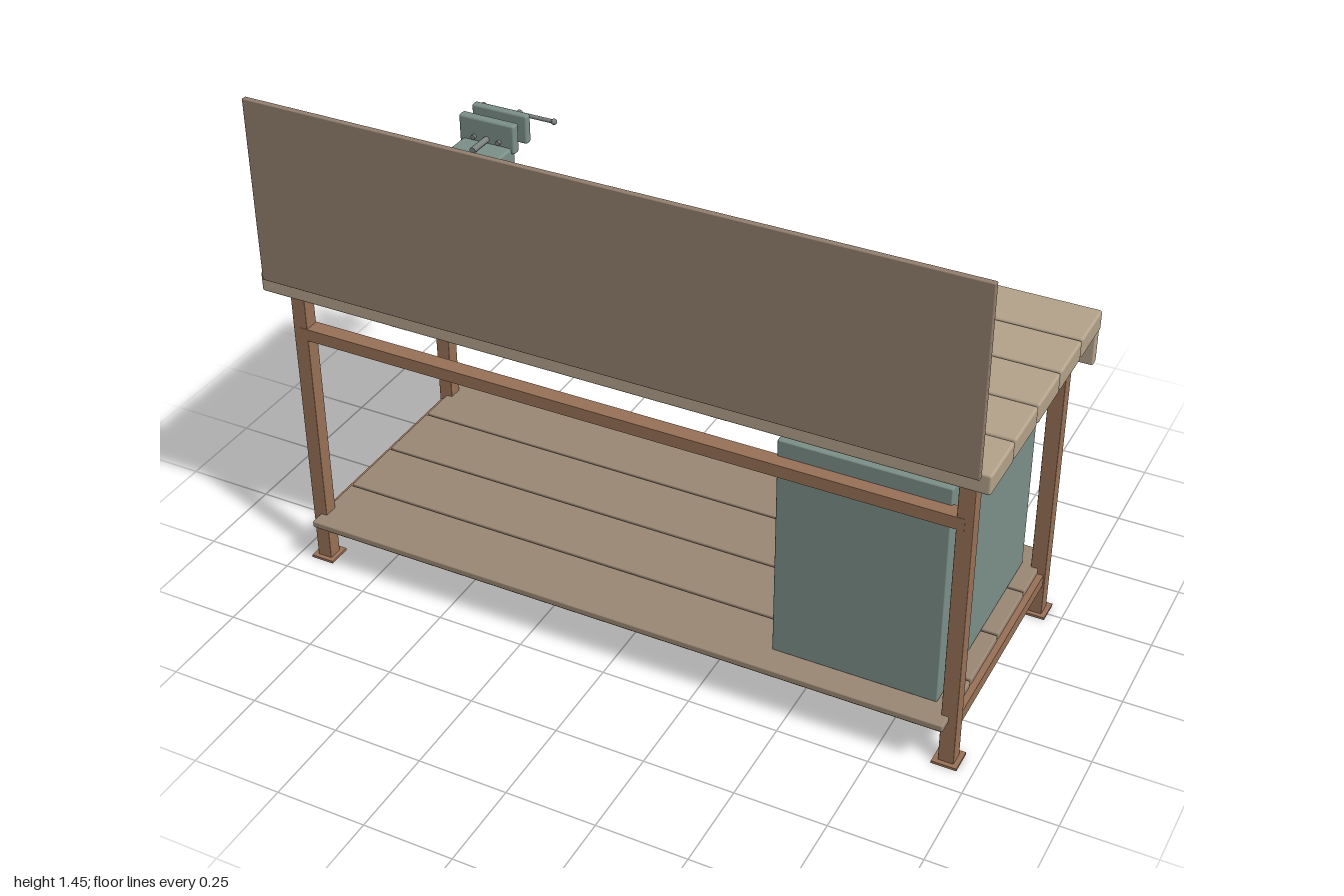
import * as THREE from 'three';
import { RoundedBoxGeometry } from 'three/addons/geometries/RoundedBoxGeometry.js';

const mat = (color) => new THREE.MeshStandardMaterial({ color });
const WOOD = mat(0xb5a48c), PANEL = mat(0x94806f), SHELF = mat(0x9c8976);
const FRAME = mat(0x9a7258), STEEL = mat(0x7d908a), ROD = mat(0x7c8280), DARK = mat(0x3a3633);

export function createModel() {
  const bench = new THREE.Group();
  bench.name = 'workbench';

  const add = (parent, name, geometry, material, x, y, z) => {
    const mesh = new THREE.Mesh(geometry, material);
    mesh.name = name;
    mesh.position.set(x, y, z);
    parent.add(mesh);
    return mesh;
  };

  // Box given by its limits on each axis; bevel rounds the edges
  const block = (parent, name, material, [x0, x1], [y0, y1], [z0, z1], bevel = 0) => {
    const size = [x1 - x0, y1 - y0, z1 - z0];
    const geometry = bevel
      ? new RoundedBoxGeometry(...size, 2, bevel)
      : new THREE.BoxGeometry(...size);
    return add(parent, name, geometry, material, (x0 + x1) / 2, (y0 + y1) / 2, (z0 + z1) / 2);
  };

  // Round bar along the x or z axis
  const bar = (parent, name, material, radius, length, axis, x, y, z) => {
    const geometry = new THREE.CylinderGeometry(radius, radius, length, 16);
    if (axis === 'x') geometry.rotateZ(Math.PI / 2);
    else geometry.rotateX(Math.PI / 2);
    return add(parent, name, geometry, material, x, y, z);
  };

  // Worktop planks
  for (let i = 0; i < 5; i++) {
    const z = -0.247 + i * 0.16;
    block(bench, 'worktopPlank', WOOD, [-0.997, 0.997], [0.88, 0.937], [z - 0.077, z + 0.077], 0.007);
  }
  // Apron and bearers under the worktop
  block(bench, 'apron', WOOD, [-0.993, 0.993], [0.783, 0.885], [-0.325, -0.298], 0.004);
  for (const x of [-0.605, 0.295])
    block(bench, 'bearer', SHELF, [x - 0.025, x + 0.025], [0.855, 0.882], [-0.3, 0.435], 0.003);

  // Legs with foot plates
  const legX = 0.926, legZ = [-0.255, 0.4];
  for (const x of [-legX, legX]) {
    for (const z of legZ) {
      block(bench, 'leg', FRAME, [x - 0.021, x + 0.021], [0, 0.882], [z - 0.021, z + 0.021], 0.002);
      block(bench, 'footPlate', FRAME, [x - 0.034, x + 0.034], [0, 0.007], [z - 0.034, z + 0.034]);
    }
    block(bench, 'lowerSideRail', FRAME, [x - 0.016, x + 0.016], [0.102, 0.137], legZ);
  }
  // Long rails
  for (const z of legZ) {
    block(bench, 'upperRail', FRAME, [-legX, legX], [0.725, 0.76], [z - 0.022, z + 0.022]);
    block(bench, 'lowerRail', FRAME, [-legX, legX], [0.095, 0.137], [z - 0.018, z + 0.018]);
  }

  // Shelf planks
  for (let i = 0; i < 4; i++) {
    const z = -0.225 + i * 0.197;
    block(bench, 'shelfPlank', SHELF, [-0.925, 0.925], [0.134, 0.154], [z - 0.095, z + 0.095], 0.004);
  }

  // Back panel with pegs
  block(bench, 'backPanel', PANEL, [-0.975, 0.975], [0.93, 1.446], [0.476, 0.491], 0.003);
  for (const x of [-0.7, -0.45, -0.2, 0.3, 0.55])
    bar(bench, 'peg', DARK, 0.004, 0.046, 'z', x, 1.288, 0.456);

  // Drawer cabinet
  const cabinet = new THREE.Group();
  cabinet.name = 'drawerCabinet';
  bench.add(cabinet);
  block(cabinet, 'cabinetBody', STEEL, [0.43, 0.88], [0.154, 0.806], [-0.24, 0.385], 0.004);
  const drawers = [[0.172, 0.455, 0.395], [0.472, 0.685, 0.625], [0.702, 0.82, 0.78]];
  for (const [y0, y1, gripY] of drawers) {
    block(cabinet, 'drawerFront', STEEL, [0.448, 0.862], [y0, y1], [-0.259, -0.238], 0.007);
    const path = new THREE.CatmullRomCurve3([
      [-0.058, -0.255], [-0.056, -0.274], [-0.045, -0.281], [0.045, -0.281], [0.056, -0.274], [0.058, -0.255],
    ].map(([x, z]) => new THREE.Vector3(x, 0, z)), false, 'catmullrom', 0.3);
    add(cabinet, 'drawerHandle', new THREE.TubeGeometry(path, 30, 0.006, 8), ROD, 0.655, gripY, 0);
  }

  // Vise
  const vise = new THREE.Group();
  vise.name = 'vise';
  vise.position.x = -0.78;
  bench.add(vise);
  block(vise, 'viseBody', STEEL, [-0.078, 0.078], [0.937, 0.998], [-0.325, -0.112], 0.008);
  block(vise, 'fixedJaw', STEEL, [-0.088, 0.088], [0.98, 1.068], [-0.332, -0.304], 0.007);
  block(vise, 'movingJaw', STEEL, [-0.088, 0.088], [0.98, 1.068], [-0.398, -0.374], 0.007);
  bar(vise, 'screw', ROD, 0.009, 0.26, 'z', 0, 1.01, -0.358);
  for (const x of [-0.04, 0.04])
    bar(vise, 'guideRod', ROD, 0.007, 0.1, 'z', x, 1.01, -0.345);
  bar(vise, 'viseHandle', ROD, 0.006, 0.23, 'x', 0, 1.01, -0.48);
  for (const x of [-0.115, 0.115])
    add(vise, 'handleKnob', new THREE.SphereGeometry(0.009, 16, 12), ROD, x, 1.01, -0.48);

  return bench;
}
